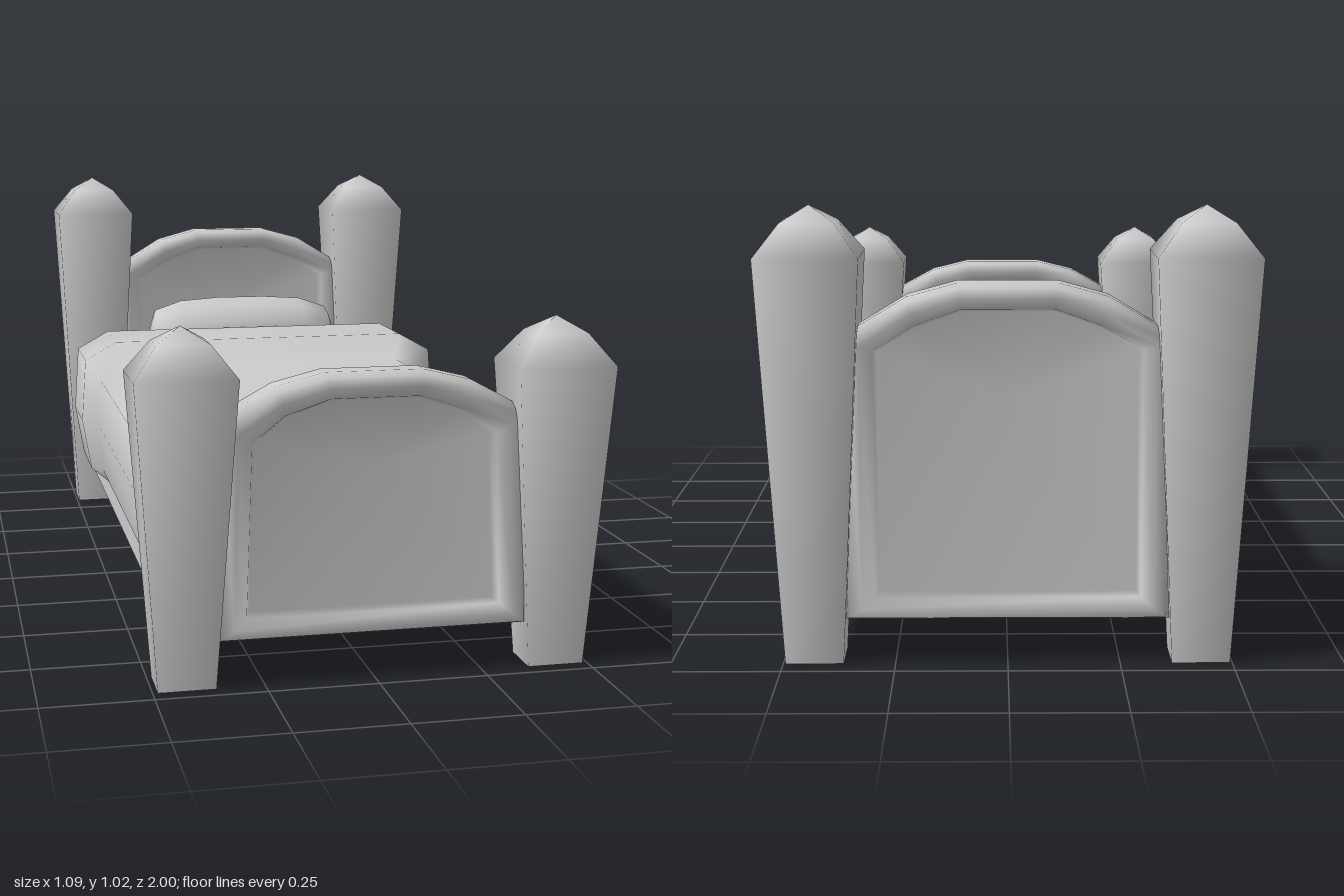
import * as THREE from 'three';

const material = new THREE.MeshStandardMaterial({ color: 0xcccccc });

// Skins a row of equal-length closed rings and closes both ends.
// softCaps shares the end rings' vertices so the ends shade smoothly.
function loft(name, rings, softCaps = false) {
  const n = rings[0].length, pos = rings.flat(2), index = [];
  for (let i = 0; i < rings.length - 1; i++) {
    for (let j = 0; j < n; j++) {
      const k = (j + 1) % n;
      const a = i * n + j, b = i * n + k, c = b + n, d = a + n;
      index.push(a, b, c, a, c, d);
    }
  }
  [0, rings.length - 1].forEach((r, end) => {
    let base = r * n;
    if (!softCaps) {
      base = pos.length / 3;
      pos.push(...rings[r].flat());
    }
    const centre = pos.length / 3;
    for (let axis = 0; axis < 3; axis++) {
      pos.push(rings[r].reduce((sum, p) => sum + p[axis], 0) / n);
    }
    for (let j = 0; j < n; j++) {
      const k = (j + 1) % n;
      if (end) index.push(centre, base + j, base + k);
      else index.push(centre, base + k, base + j);
    }
  });
  const geometry = new THREE.BufferGeometry();
  geometry.setAttribute('position', new THREE.Float32BufferAttribute(pos, 3));
  geometry.setIndex(index);
  geometry.computeVertexNormals();
  const mesh = new THREE.Mesh(geometry, material);
  mesh.name = name;
  return mesh;
}

// Right half of an outline (bottom to top), mirrored into a full loop.
const mirrorLoop = (half) => [...half, ...half.map(([x, y]) => [-x, y]).reverse()];

// Square post that widens upwards and ends in a blunt point.
function post(name, x, z, height, halfZ) {
  const levels = [
    [0, 0.065, 0.053],
    [height - 0.107, 0.113, halfZ],
    [height - 0.036, 0.059, halfZ * 0.52],
    [height, 0, 0],
  ];
  return loft(name, levels.map(([y, hx, hz]) =>
    [[1, 1], [1, -1], [-1, -1], [-1, 1]].map(([sx, sz]) => [x + sx * hx, y, z + sz * hz])));
}

// Arched board: thick rounded frame around a recessed panel on both faces.
function board(name, z, outerHalf, innerHalf) {
  const outer = mirrorLoop(outerHalf), inner = mirrorLoop(innerHalf);
  const side = [[0, 0.022], [0.12, 0.045], [0.5, 0.06], [0.85, 0.05], [1, 0.025]];
  const profile = [...side.map(([t, d]) => [t, -d]), ...side.slice().reverse()];
  return loft(name, profile.map(([t, d]) => inner.map(([x, y], i) => [
    THREE.MathUtils.lerp(x, outer[i][0], t),
    THREE.MathUtils.lerp(y, outer[i][1], t),
    z + d,
  ])), true);
}

export function createModel() {
  const bed = new THREE.Group();
  bed.name = 'bed';

  // Corner posts and side rails
  for (const s of [1, -1]) {
    const label = s > 0 ? 'left' : 'right';
    bed.add(post(label + 'HeadPost', s * 0.43, -0.898, 1.017, 0.102));
    bed.add(post(label + 'FootPost', s * 0.424, 0.909, 0.798, 0.091));
    const rail = new THREE.Mesh(new THREE.BoxGeometry(0.055, 0.075, 1.72), material);
    rail.name = label + 'Rail';
    rail.position.set(s * 0.415, 0.1325, 0);
    bed.add(rail);
  }

  // Head and foot boards
  bed.add(board('headboard', -0.902,
    [[0.36, 0.097], [0.36, 0.735], [0.22, 0.82], [0.11, 0.85]],
    [[0.285, 0.16], [0.285, 0.7], [0.2, 0.752], [0.1, 0.788]]));
  bed.add(board('footboard', 0.906,
    [[0.36, 0.097], [0.355, 0.59], [0.22, 0.663], [0.11, 0.69]],
    [[0.28, 0.16], [0.265, 0.54], [0.2, 0.592], [0.1, 0.626]]));

  // Mattress with blanket; f = 1 where the blanket is folded over
  const bedding = [[-0.87, 0], [-0.64, 0], [-0.6, 1], [-0.37, 1], [-0.33, 0], [0.87, 0]];
  bed.add(loft('blanket', bedding.map(([z, f]) => mirrorLoop([
    [0.44, 0.165],
    [0.468 + 0.03 * f, 0.21],
    [0.482 + 0.04 * f, 0.35],
    [0.47 + 0.04 * f, 0.47 + 0.055 * f],
    [0.4 + 0.02 * f, 0.505 + 0.07 * f],
  ]).map(([x, y]) => [x, y, z]))));

  // Pillow: z, half width, side height, top height, forward bulge
  const pillow = [
    [-0.84, 0.25, 0.57, 0.61, 0],
    [-0.81, 0.283, 0.6, 0.637, 0],
    [-0.75, 0.287, 0.615, 0.65, 0],
    [-0.69, 0.288, 0.6, 0.632, 0.012],
    [-0.64, 0.288, 0.555, 0.59, 0.025],
    [-0.64, 0.27, 0.51, 0.53, 0.025],
  ];
  bed.add(loft('pillow', pillow.map(([z, w, side, top, bulge]) => mirrorLoop([
    [w * 0.95, 0.47], [w, (0.47 + side) / 2], [w * 0.93, side],
    [w * 0.65, top - 0.008], [w * 0.25, top],
  ]).map(([x, y]) => [x + 0.01, y, z + bulge * (1 - (x / w) ** 2)]))));

  return bed;
}
